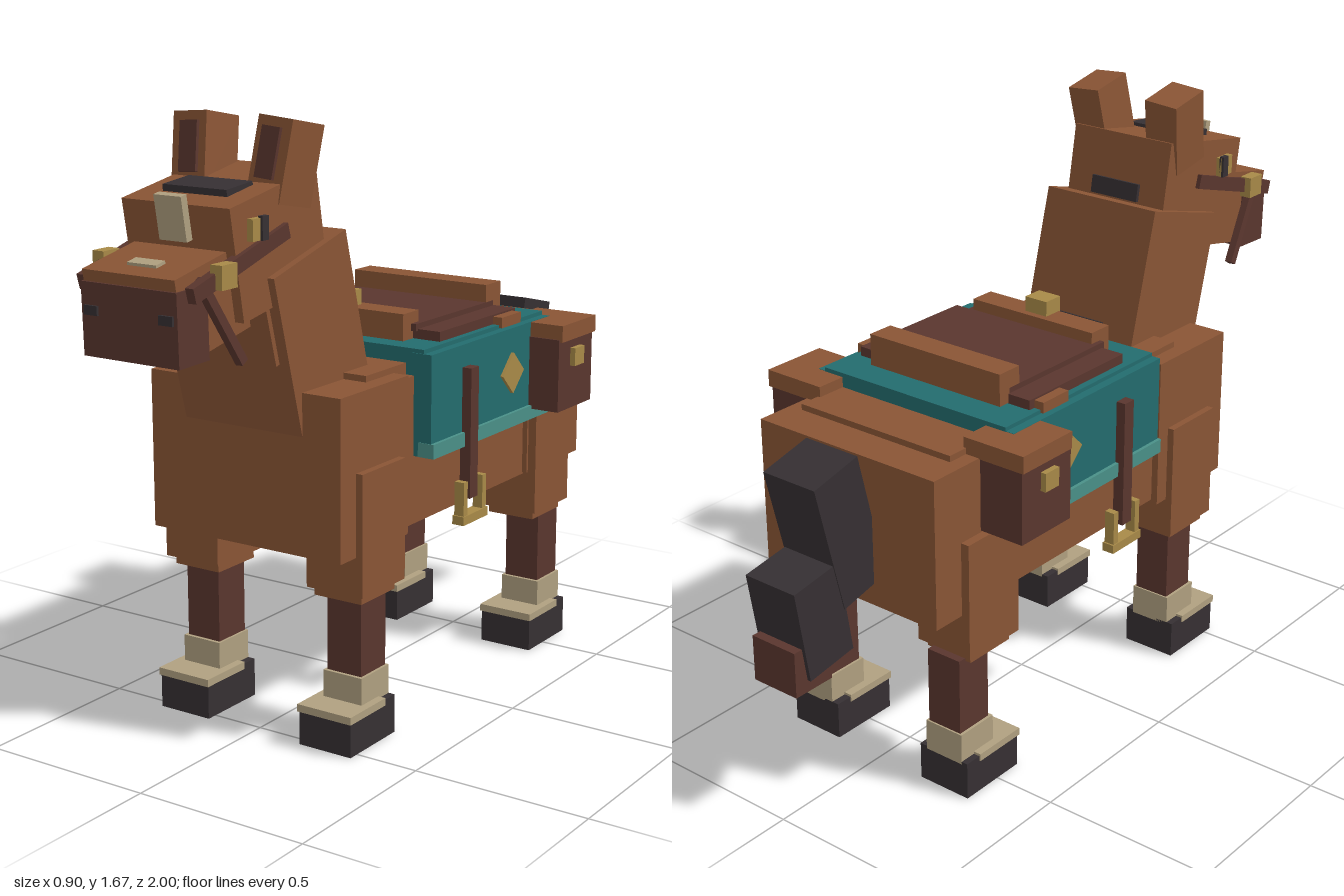
import * as THREE from 'three';

const mat = (name, color) => {
  const m = new THREE.MeshStandardMaterial({ color });
  m.name = name;
  return m;
};

export function createModel() {
  const coat = mat('coat brown', 0x8a5535);
  const dark = mat('dark brown', 0x5a362e);
  const black = mat('charcoal', 0x363033);
  const tan = mat('tan', 0xb0a080);
  const teal = mat('teal', 0x236c6e);
  const lightTeal = mat('light teal', 0x4a9088);
  const gold = mat('gold', 0xa88a48);

  const horse = new THREE.Group();
  horse.name = 'saddledHorse';

  // Box from centre and size, optionally rotated
  const box = (name, m, size, pos, rx = 0, rz = 0, parent = horse) => {
    const mesh = new THREE.Mesh(new THREE.BoxGeometry(...size), m);
    mesh.name = name;
    mesh.position.set(...pos);
    mesh.rotation.set(rx, 0, rz);
    parent.add(mesh);
    return mesh;
  };
  // Upright box from its limits on each axis
  const span = (name, m, [x0, x1], [y0, y1], [z0, z1], parent = horse) =>
    box(name, m, [x1 - x0, y1 - y0, z1 - z0],
      [(x0 + x1) / 2, (y0 + y1) / 2, (z0 + z1) / 2], 0, 0, parent);
  // Box limits centred on x, and limits mirrored to one side
  const mid = (w) => [-w, w];
  const side = (s, a, b) => (s > 0 ? [a, b] : [-b, -a]);

  // Body
  span('chest', coat, mid(0.305), [0.535, 0.97], [0.24, 0.555]);
  span('barrel', coat, mid(0.285), [0.545, 0.955], [-0.42, 0.25]);
  span('hindquarters', coat, mid(0.3), [0.55, 0.97], [-0.717, -0.41]);
  span('backRidge', coat, mid(0.258), [0.9, 0.987], [-0.607, 0.37]);
  span('belly', dark, mid(0.245), [0.53, 0.56], [-0.41, 0.24]);

  // Legs, from the front z limits shifted for the hind pair
  for (const s of [1, -1]) {
    for (const front of [true, false]) {
      const leg = new THREE.Group();
      leg.name = (front ? 'front' : 'hind') + (s > 0 ? 'LeftLeg' : 'RightLeg');
      horse.add(leg);
      const upper = front ? 0 : -0.903;
      const lower = front ? 0 : -0.945;
      const part = (name, m, x, y, z, dz) =>
        span(name, m, side(s, ...x), y, [z[0] + dz, z[1] + dz], leg);
      part('upperLeg', coat, [0.148, 0.325], [0.427, 0.76], [0.285, 0.485], upper);
      part('knee', coat, [0.16, 0.308], [0.402, 0.43], [0.308, 0.466], upper);
      part('shin', dark, [0.182, 0.29], [0.18, 0.41], [0.325, 0.44], lower);
      part('sock', tan, [0.175, 0.298], [0.1, 0.19], [0.32, 0.45], lower);
      part('hoof', black, [0.153, 0.317], [0, 0.108], [0.32, 0.53], lower);
      part('hoofBand', tan, [0.15, 0.321], [0.094, 0.115], [0.37, 0.535], lower);
    }
  }

  // Neck and mane plates
  box('neck', coat, [0.376, 0.45, 0.32], [0, 1.103, 0.456], 0.262);
  box('throat', coat, [0.314, 0.2, 0.06], [0, 1.15, 0.618], 0.262);
  box('neckMane', black, [0.16, 0.045, 0.025], [0, 1.01, 0.266], 0.262);
  box('headMane', black, [0.16, 0.05, 0.025], [0, 1.375, 0.434], 0.175);

  // Head
  box('head', coat, [0.335, 0.29, 0.36], [0, 1.356, 0.612], 0.175);
  box('forelock', black, [0.2, 0.022, 0.105], [0, 1.493, 0.685], 0.1);
  box('blaze', tan, [0.085, 0.115, 0.022], [0, 1.435, 0.822], 0.175);
  box('muzzle', coat, [0.28, 0.2, 0.24], [0, 1.235, 0.84], 0.2);
  box('noseBridge', coat, [0.285, 0.055, 0.2], [0, 1.313, 0.8915], 0.2);
  box('snip', tan, [0.09, 0.014, 0.035], [0, 1.335, 0.925], 0.2);
  box('nose', dark, [0.295, 0.185, 0.115], [0, 1.2, 0.935], 0.03);

  for (const s of [1, -1]) {
    box('nostril', black, [0.042, 0.024, 0.012], [s * 0.116, 1.222, 0.994]);
    // Eye with pupil
    box('eye', gold, [0.03, 0.055, 0.055], [s * 0.17, 1.408, 0.72]);
    box('pupil', black, [0.014, 0.06, 0.025], [s * 0.185, 1.41, 0.705]);
    // Ear with inner face
    const ear = box('ear', coat, [0.105, 0.21, 0.135], [s * 0.126, 1.549, 0.534], -0.19, s * -0.08);
    box('innerEar', dark, [0.055, 0.13, 0.016], [s * -0.003, 0.015, 0.07], 0, 0, ear);
    // Bridle
    box('cheekStrap', dark, [0.025, 0.04, 0.39], [s * 0.168, 1.335, 0.78], 0.28);
    box('rein', dark, [0.022, 0.26, 0.025], [s * 0.163, 1.2, 0.85], 0.56, s * 0.07);
    box('bridleRing', gold, [0.035, 0.06, 0.06], [s * 0.183, 1.315, 0.86]);
  }

  // Saddle cloth and saddle
  span('saddleCloth', teal, mid(0.315), [0.94, 1.028], [-0.457, 0.18]);
  span('seatBase', dark, mid(0.295), [1.02, 1.055], [-0.335, 0.07]);
  span('seat', dark, mid(0.225), [1.05, 1.07], [-0.33, 0.08]);
  span('cantleStrap', coat, mid(0.325), [1.02, 1.05], [-0.315, -0.21]);
  span('cantle', coat, mid(0.225), [1.03, 1.12], [-0.37, -0.29]);
  span('pommel', coat, mid(0.21), [1.025, 1.102], [0.043, 0.12]);
  span('saddleHorn', gold, mid(0.037), [1.1, 1.145], [0.063, 0.125]);

  for (const s of [1, -1]) {
    const x = (a, b) => side(s, a, b);
    span('clothSide', teal, x(0.28, 0.34), [0.735, 1.017], [-0.455, 0.183]);
    span('clothTrim', lightTeal, x(0.3, 0.35), [0.735, 0.775], [-0.457, 0.185]);
    box('diamond', gold, [0.018, 0.083, 0.083], [s * 0.34, 0.89, -0.238], Math.PI / 4);
    // Stirrup
    span('stirrupStrap', dark, x(0.335, 0.368), [0.59, 0.955], [-0.015, 0.025]);
    span('stirrupTread', gold, x(0.337, 0.373), [0.523, 0.548], [-0.063, 0.065]);
    for (const z of [-0.048, 0.05])
      span('stirrupSide', gold, x(0.34, 0.37), [0.54, 0.643], [z - 0.01, z + 0.01]);
    // Saddlebag
    span('saddlebag', dark, x(0.29, 0.435), [0.765, 0.975], [-0.54, -0.342]);
    span('saddlebagLid', coat, x(0.25, 0.443), [0.968, 1.016], [-0.545, -0.347]);
    span('saddlebagClasp', gold, x(0.43, 0.451), [0.89, 0.942], [-0.465, -0.41]);
  }

  // Tail
  box('upperTail', black, [0.176, 0.38, 0.16], [0, 0.79, -0.795], -0.24);
  box('lowerTail', black, [0.17, 0.27, 0.16], [0, 0.58, -0.9], -0.16);
  box('tailTip', dark, [0.148, 0.13, 0.13], [0, 0.465, -0.935]);

  return horse;
}
